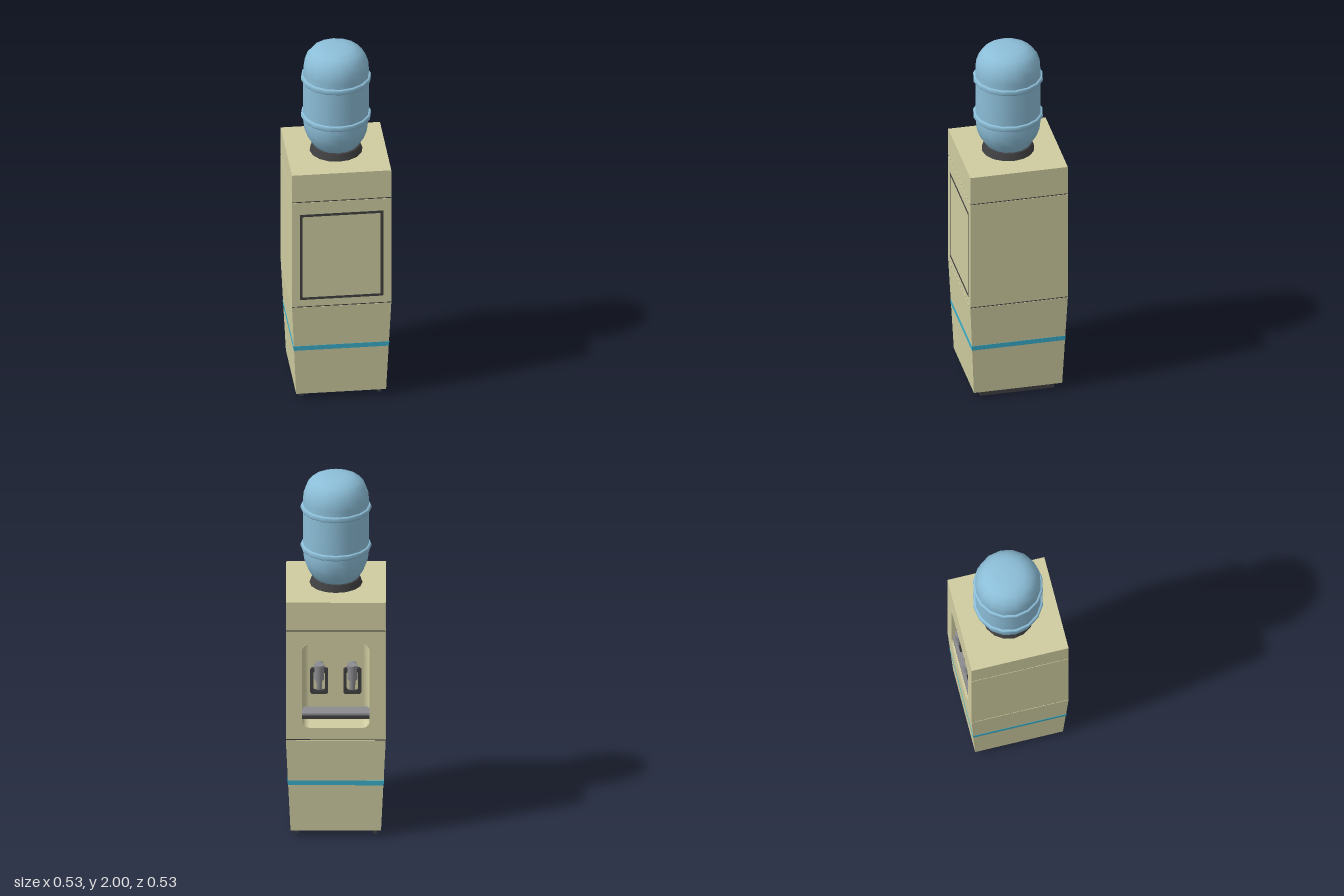
import * as THREE from 'three';

const mat = (color, opts = {}) => Object.assign(new THREE.MeshStandardMaterial({ color }), opts);
const shell = mat(0xcfcca0);
const shellFlat = mat(0xcfcca0, { flatShading: true });
const liner = mat(0xcfcca0, { side: THREE.DoubleSide });
const dark = mat(0x404042);
const blue = mat(0x8cbed8);
const stripeBlue = mat(0x3bb0cc, { flatShading: true });
const grey = mat(0x8c8c90);

const HALF = 0.265, BACK = -HALF;

function add(parent, name, geometry, material, x = 0, y = 0, z = 0) {
  const mesh = new THREE.Mesh(geometry, material);
  mesh.name = name;
  mesh.position.set(x, y, z);
  parent.add(mesh);
  return mesh;
}

// Square block spanning y0..y1, with its own half width at each end
function taperedBlock(y0, y1, half0, half1) {
  return new THREE.CylinderGeometry(half1 * Math.SQRT2, half0 * Math.SQRT2, y1 - y0, 4)
    .rotateY(Math.PI / 4).translate(0, (y0 + y1) / 2, 0);
}

// Rounded rectangle centred on (0, cy), as a Shape or a Path
function roundedRect(Type, hw, hh, r, cy = 0) {
  const s = new Type(), q = Math.PI / 2;
  s.absarc(hw - r, cy + hh - r, r, 0, q);
  s.absarc(-hw + r, cy + hh - r, r, q, 2 * q);
  s.absarc(-hw + r, cy - hh + r, r, 2 * q, 3 * q);
  s.absarc(hw - r, cy - hh + r, r, 3 * q, 4 * q);
  s.closePath();
  return s;
}

const lathe = (pts, segments) =>
  new THREE.LatheGeometry(pts.map(([r, y]) => new THREE.Vector2(r, y)), segments);

// Recess wall lofted from rounded rectangles, curving into the back wall
function recessWall(hw, hh, r, cy, depth, fillet) {
  const sections = [[0, 0]];
  for (let i = 0; i <= 5; i++) {
    const a = i / 5 * Math.PI / 2;
    sections.push([fillet * (1 - Math.cos(a)), depth - fillet + fillet * Math.sin(a)]);
  }
  const pos = [], index = [];
  let n = 0;
  sections.forEach(([inset, d]) => {
    const ring = roundedRect(THREE.Shape, hw - inset, hh - inset, r - inset, cy).getPoints(6);
    n = ring.length;
    ring.forEach(p => pos.push(p.x, p.y, BACK + d));
  });
  for (let s = 0; s < sections.length - 1; s++) {
    for (let i = 0; i < n; i++) {
      const a = s * n + i, b = s * n + (i + 1) % n;
      index.push(a, a + n, b, b, a + n, b + n);
    }
  }
  const g = new THREE.BufferGeometry();
  g.setAttribute('position', new THREE.Float32BufferAttribute(pos, 3));
  g.setIndex(index);
  g.computeVertexNormals();
  return g;
}

function createTap() {
  const tap = new THREE.Group();
  tap.name = 'tap';
  add(tap, 'tapBody', new THREE.CylinderGeometry(0.028, 0.026, 0.085, 16), grey, 0, 0.96);
  add(tap, 'tapNozzle', new THREE.CylinderGeometry(0.017, 0.014, 0.06, 12), grey, 0, 0.89);
  add(tap, 'tapPipe', new THREE.CylinderGeometry(0.026, 0.026, 0.09, 16).rotateX(Math.PI / 2),
    grey, 0, 0.965, 0.04);
  const paddle = roundedRect(THREE.Shape, 0.048, 0.075, 0.015, 0.91);
  paddle.holes.push(roundedRect(THREE.Path, 0.03, 0.055, 0.01, 0.91));
  add(tap, 'tapPaddle', new THREE.ExtrudeGeometry(paddle, { depth: 0.018, bevelEnabled: false, curveSegments: 4 }),
    dark, 0, 0, -0.01);
  return tap;
}

export function createModel() {
  const model = new THREE.Group();
  model.name = 'waterCooler';

  // Cabinet: tapered base, middle section and top, with dark seams between
  add(model, 'base', taperedBlock(0.035, 0.572, 0.24, HALF), shellFlat);
  add(model, 'stripe', taperedBlock(0.305, 0.332, 0.2541, 0.2554), stripeBlue);
  add(model, 'top', taperedBlock(1.213, 1.375, HALF, HALF), shellFlat);
  for (const y of [0.575, 1.21])
    add(model, 'seam', new THREE.BoxGeometry(0.526, 0.01, 0.526), dark, 0, y);

  // Middle section: solid front and a back slab with an opening
  const y0 = 0.578, y1 = 1.207, slab = 0.11;
  const cy = 0.89, hw = 0.18, hh = 0.245, r = 0.04;
  add(model, 'middleFront', new THREE.BoxGeometry(2 * HALF, y1 - y0, 2 * HALF - slab),
    shell, 0, (y0 + y1) / 2, slab / 2);
  const back = new THREE.Shape([[-HALF, y0], [HALF, y0], [HALF, y1], [-HALF, y1]]
    .map(p => new THREE.Vector2(...p)));
  back.holes.push(roundedRect(THREE.Path, hw, hh, r, cy));
  add(model, 'middleBack', new THREE.ExtrudeGeometry(back, { depth: slab, bevelEnabled: false, curveSegments: 6 }),
    shell, 0, 0, BACK);

  // Dispensing recess with tray and two taps
  const fillet = 0.03, depth = 0.1;
  add(model, 'recessWall', recessWall(hw - 0.001, hh - 0.001, r, cy, depth, fillet), liner);
  add(model, 'recessBack', new THREE.ShapeGeometry(
    roundedRect(THREE.Shape, hw - fillet, hh - fillet, r - fillet, cy), 6), liner, 0, 0, BACK + depth);
  add(model, 'dripTray', new THREE.BoxGeometry(0.356, 0.012, 0.09), grey, 0, 0.719, -0.213);
  add(model, 'trayRim', new THREE.BoxGeometry(0.356, 0.02, 0.088), dark, 0, 0.703, -0.213);
  for (const side of [-1, 1]) {
    const tap = createTap();
    tap.position.set(side * 0.088, 0, -0.24);
    model.add(tap);
  }

  // Outlined panel on the front
  const outline = roundedRect(THREE.Shape, 0.222, 0.258, 0.003, 0.876);
  outline.holes.push(roundedRect(THREE.Path, 0.208, 0.244, 0.003, 0.876));
  add(model, 'frontPanelOutline', new THREE.ExtrudeGeometry(outline, { depth: 0.006, bevelEnabled: false, curveSegments: 2 }),
    dark, 0, 0, HALF - 0.005);

  // Runners under the base
  for (const side of [-1, 1])
    add(model, 'foot', new THREE.BoxGeometry(0.022, 0.04, 0.4), dark, side * 0.208, 0.02);

  // Collar and bottle
  add(model, 'collar', new THREE.CylinderGeometry(0.128, 0.142, 0.04, 16), dark, 0, 1.392);
  add(model, 'bottle', lathe([
    [0.1, 1.395], [0.128, 1.425], [0.153, 1.465], [0.169, 1.51], [0.175, 1.56],
    [0.175, 1.86], [0.172, 1.9], [0.157, 1.943], [0.13, 1.975], [0.09, 1.994], [0.045, 1.999], [0, 2],
  ], 16), blue);
  for (const y of [1.592, 1.815])
    add(model, 'bottleRing', lathe([
      [0.17, -0.015], [0.183, -0.014], [0.187, -0.008], [0.187, 0.008], [0.183, 0.014], [0.17, 0.015],
    ], 16), blue, 0, y);

  return model;
}
